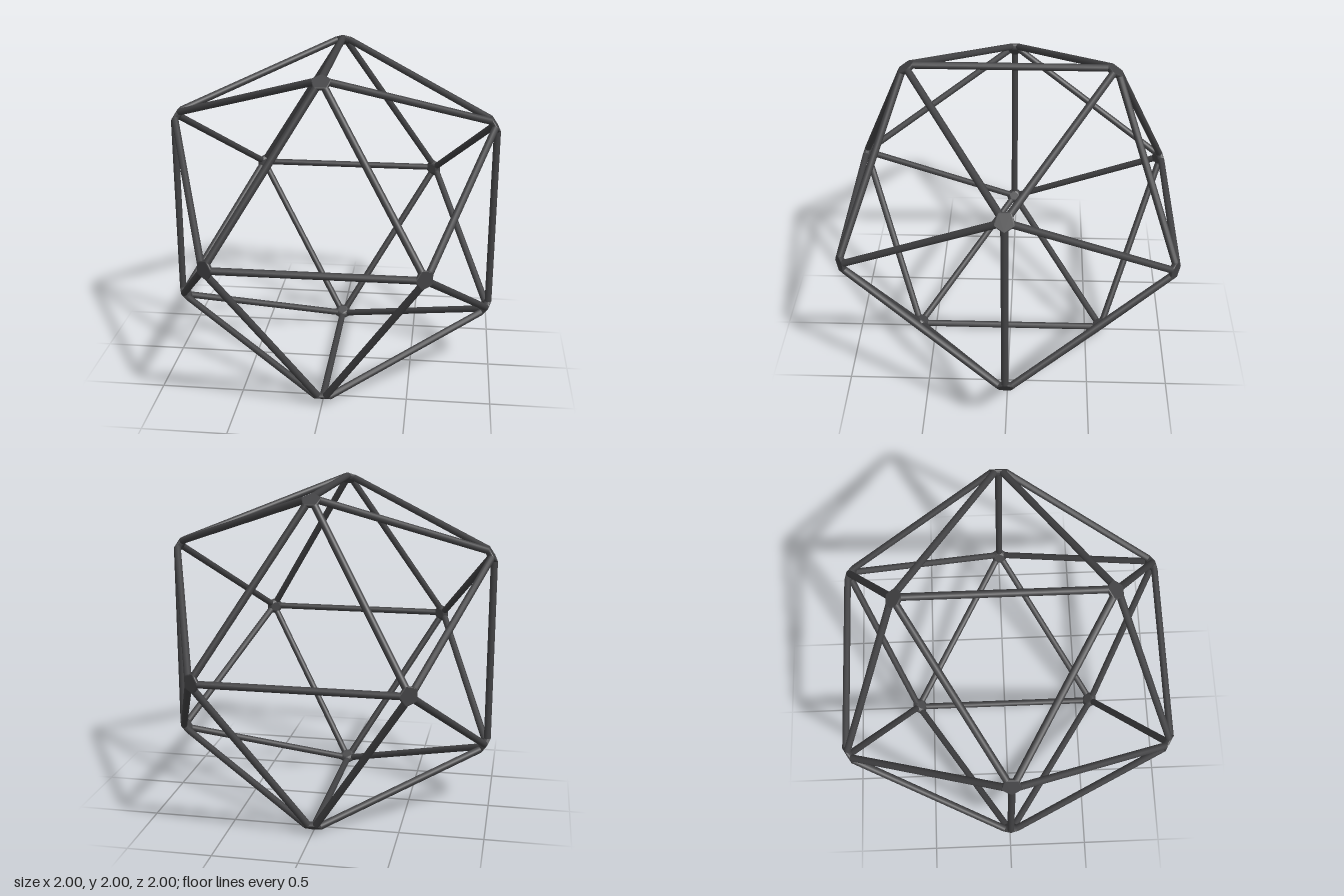
import * as THREE from 'three';
import { ConvexGeometry } from 'three/addons/geometries/ConvexGeometry.js';

const SHORT = 0.605, LONG = 0.979; // golden-ratio coordinates of the corners
const RADIUS = 0.021;              // strut radius
const SETBACK = 0.052;             // distance from corner to strut end
const SIDES = 12;
const UP = new THREE.Vector3(0, 1, 0);

// Twelve corners of an icosahedron, around its own centre
function makeCorners() {
  const corners = [];
  for (const a of [-SHORT, SHORT]) {
    for (const b of [-LONG, LONG]) {
      corners.push(
        new THREE.Vector3(a, 0, b),
        new THREE.Vector3(0, b, a),
        new THREE.Vector3(b, a, 0)
      );
    }
  }
  return corners;
}

export function createModel() {
  const model = new THREE.Group();
  model.name = 'icosahedronFrame';
  const strutMaterial = new THREE.MeshStandardMaterial({ color: 0x424244 });
  const nodeMaterial = new THREE.MeshStandardMaterial({ color: 0x424244, flatShading: true });

  const corners = makeCorners();
  const rims = corners.map(() => []); // strut end rims gathered at each corner
  const length = 2 * SHORT - 2 * SETBACK;
  const strutGeometry = new THREE.CylinderGeometry(RADIUS, RADIUS, length, SIDES, 1, true);

  // Struts: one along every edge, stopping short of the corners
  corners.forEach((a, i) => {
    corners.forEach((b, j) => {
      if (j <= i || a.distanceTo(b) > 2 * SHORT * 1.1) return;
      const strut = new THREE.Mesh(strutGeometry, strutMaterial);
      strut.name = 'strut';
      strut.position.addVectors(a, b).multiplyScalar(0.5);
      strut.quaternion.setFromUnitVectors(UP, b.clone().sub(a).normalize());
      strut.updateMatrix();
      model.add(strut);

      for (let k = 0; k < SIDES; k++) {
        const t = (k / SIDES) * Math.PI * 2;
        for (const [corner, end] of [[i, -1], [j, 1]]) {
          rims[corner].push(
            new THREE.Vector3(RADIUS * Math.sin(t), end * length / 2, RADIUS * Math.cos(t))
              .applyMatrix4(strut.matrix)
          );
        }
      }
    });
  });

  // Nodes: faceted joints spanning the five strut ends, flat on the outside
  for (const rim of rims) {
    const node = new THREE.Mesh(new ConvexGeometry(rim), nodeMaterial);
    node.name = 'cornerNode';
    model.add(node);
  }

  model.position.y = LONG + RADIUS; // rest on the ground
  return model;
}
